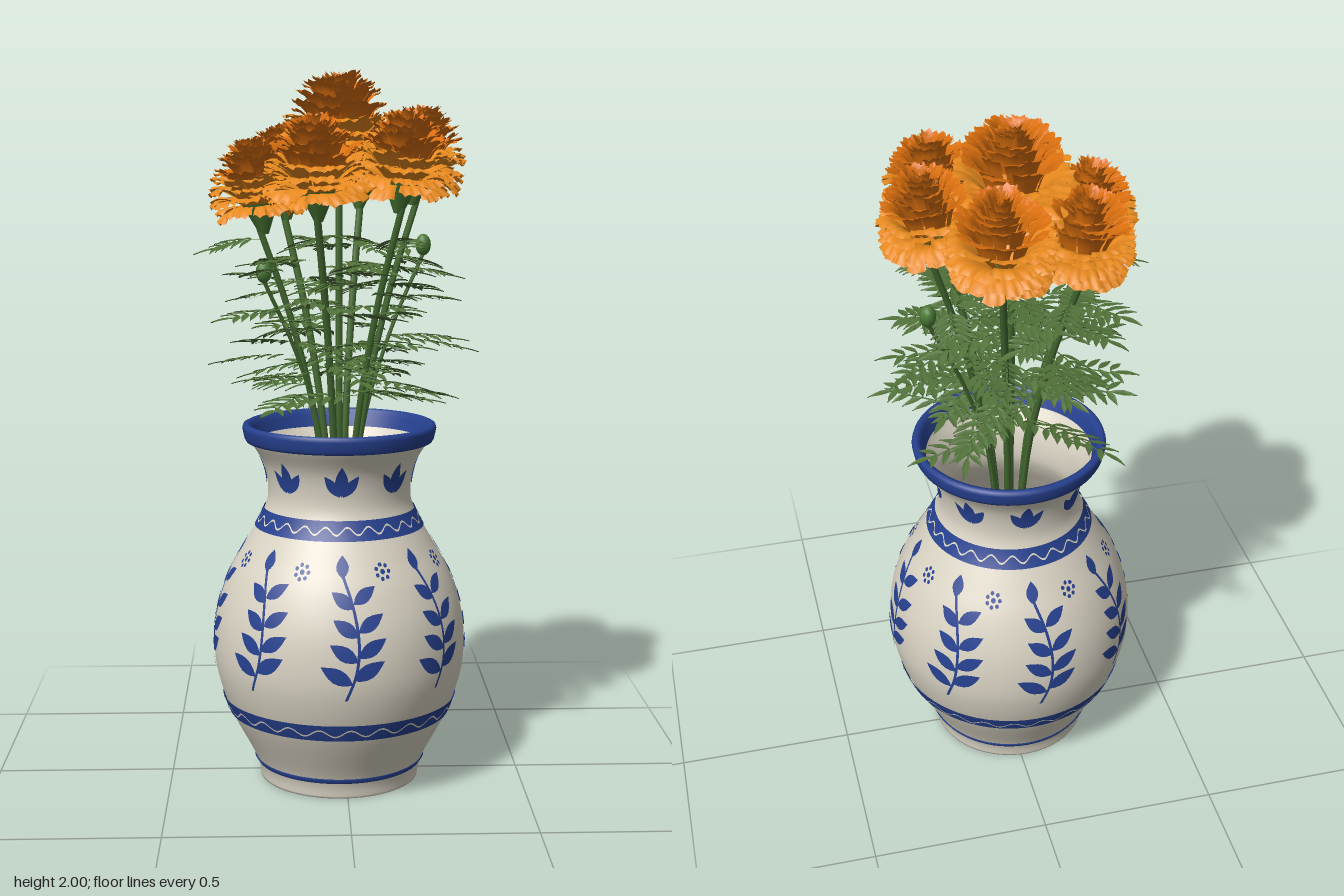
import * as THREE from 'three';
import { mergeGeometries } from 'three/addons/utils/BufferGeometryUtils.js';

const mat = (name, color) => {
  const m = new THREE.MeshStandardMaterial({ color, side: THREE.DoubleSide });
  m.name = name;
  return m;
};
const CX = -0.017, CZ = 0.018; // vase axis
const V3 = (x, y, z) => new THREE.Vector3(x, y, z);
const V2 = (x, y) => new THREE.Vector2(x, y);

let seed = 7;
const rand = () => (seed = (seed * 16807) % 2147483647) / 2147483647;

// Bend a grid by a rule f(u, v) -> Vector3
function patch(nu, nv, f) {
  const g = new THREE.PlaneGeometry(1, 1, nu, nv), p = g.attributes.position;
  for (let i = 0; i < p.count; i++) {
    const q = f(p.getX(i) + 0.5, p.getY(i) + 0.5);
    p.setXYZ(i, q.x, q.y, q.z);
  }
  g.computeVertexNormals();
  return g;
}

// Outer profile of the vase
const profile = new THREE.SplineCurve([[0.226, 0], [0.24, 0.06], [0.312, 0.2], [0.348, 0.31], [0.357, 0.4],
  [0.346, 0.5], [0.312, 0.6], [0.262, 0.69], [0.217, 0.77], [0.201, 0.83], [0.213, 0.91], [0.25, 0.975],
  [0.262, 1.0]].map(a => V2(...a))).getPoints(72);
function vaseR(y) {
  let i = 1;
  while (i < profile.length - 1 && profile[i].y < y) i++;
  const a = profile[i - 1], b = profile[i];
  return a.x + (b.x - a.x) * (y - a.y) / (b.y - a.y);
}

// Wrap flat drawings (x = arc length, y = height) onto the vase
function wrap(g, angle, off = 0.003) {
  const p = g.attributes.position;
  for (let i = 0; i < p.count; i++) {
    const y = p.getY(i), r = vaseR(y), a = angle + p.getX(i) / r;
    p.setXYZ(i, (r + off) * Math.sin(a), y, (r + off) * Math.cos(a));
  }
  g.computeVertexNormals();
  return g;
}
// Flat painted leaf starting at (x, y), pointing along angle t
function paintLeaf(x, y, len, wid, t) {
  return patch(2, 6, (u, v) => {
    const w = (u - 0.5) * wid * Math.sin(Math.PI * Math.pow(v, 0.9)), l = v * len;
    return V3(x + l * Math.cos(t) + w * Math.sin(t), y + l * Math.sin(t) - w * Math.cos(t), 0);
  });
}
const dot = (x, y, r) => new THREE.CircleGeometry(r, 8).translate(x, y, 0);

function buildVase(cream, blue) {
  const vase = new THREE.Group();
  vase.name = 'vase';
  const add = (name, g, m) => {
    const mesh = new THREE.Mesh(g, m);
    mesh.name = name;
    vase.add(mesh);
  };
  const inner = profile.filter(p => p.y > 0.03).map(p => V2(p.x - 0.014, p.y)).reverse();
  add('body', new THREE.LatheGeometry([V2(0, 0), ...profile, ...inner, V2(0, 0.03)], 72), cream);
  add('rim', new THREE.LatheGeometry([[0.24, 0.974], [0.262, 0.976], [0.267, 0.985], [0.273, 1.012], [0.27, 1.022],
    [0.262, 1.026], [0.251, 1.022], [0.245, 1.006], [0.234, 0.976]].map(a => V2(...a)), 72), blue);

  // Bands, with a light wave on the two wide ones
  [[0.735, 0.787], [0.198, 0.247]].forEach(([a, b]) => {
    const edge = [0, 1, 2, 3, 4].map(i => a + (b - a) * i / 4).map(y => V2(vaseR(y) + 0.004, y));
    add('band', new THREE.LatheGeometry(edge, 72), blue);
    add('bandWave', patch(288, 1, (u, v) => {
      const t = u * Math.PI * 2, y = (a + b) / 2 + 0.01 * Math.sin(t * 24) + (v - 0.5) * 0.005;
      const r = vaseR(y) + 0.007;
      return V3(r * Math.sin(t), y, r * Math.cos(t));
    }), cream);
  });
  // Narrow ledge line over the foot, facing down
  add('footLine', new THREE.LatheGeometry([V2(vaseR(0.046) + 0.001, 0.046), V2(vaseR(0.06) + 0.004, 0.059),
    V2(vaseR(0.06) - 0.002, 0.061)], 72), blue);

  // Painted sprigs, dotted flowers and neck tulips, eight times around
  const sprig = new THREE.CatmullRomCurve3([V3(0.008, 0.325, 0), V3(0.035, 0.4, 0), V3(0.042, 0.48, 0),
    V3(0.028, 0.57, 0), V3(0, 0.655, 0)]);
  for (let k = 0; k < 8; k++) {
    const a = k * Math.PI / 4, parts = [];
    parts.push(patch(1, 20, (u, v) => sprig.getPoint(v).add(V3((u - 0.5) * 0.008, 0, 0))));
    for (let i = 0; i < 4; i++) {
      const q = sprig.getPoint(0.15 + i * 0.2), len = 0.1 - i * 0.009;
      for (const s of [-1, 1])
        parts.push(paintLeaf(q.x, q.y + (s + 1) * 0.006, len, 0.042 - i * 0.002, Math.PI / 2 - s * (1.05 - i * 0.04)));
    }
    parts.push(paintLeaf(0, 0.645, 0.058, 0.034, Math.PI / 2));
    add('paintedSprig', wrap(mergeGeometries(parts), a), blue);

    const dots = [dot(0, 0.658, 0.007)];
    for (let i = 0; i < 7; i++) {
      const t = i / 7 * Math.PI * 2;
      dots.push(dot(0.018 * Math.cos(t), 0.658 + 0.018 * Math.sin(t), 0.0055));
    }
    add('paintedDots', wrap(mergeGeometries(dots), a + Math.PI / 8), blue);

    const tulip = [paintLeaf(0, 0.85, 0.088, 0.036, Math.PI / 2)];
    for (const s of [-1, 1]) tulip.push(paintLeaf(s * 0.004, 0.85, 0.074, 0.028, Math.PI / 2 + s * -0.62));
    add('paintedTulip', wrap(mergeGeometries(tulip), a), blue);
  }
  vase.position.set(CX, 0, CZ);
  return vase;
}

// One ruffled petal; s runs from 0 on the drooping outside to 1 in the middle
function petal(a0, width, tipR, tipH, s, R) {
  const low = s < 0.35;
  const baseR = low ? 0.2 * R : tipR * 0.5, baseH = low ? -0.035 : tipH - 0.08;
  const midR = tipR * (low ? 0.8 : 0.66), midH = tipH + (low ? 0.045 * (1 - s) : 0.002);
  const ph = rand() * 6, lift = (rand() - 0.5) * 0.026, len = 0.9 + rand() * 0.16;
  const twist = (rand() - 0.5) * 0.012;
  return patch(6, 4, (u, v) => {
    const e = 2 * u - 1, t = v * len * (1 - 0.08 * e * e), q = 1 - t;
    const wave = Math.sin(u * 14 + ph) * v * v;
    const r = q * q * baseR + 2 * q * t * midR + t * t * tipR + wave * 0.004 + twist * e * v;
    const h = q * q * baseH + 2 * q * t * midH + t * t * tipH + wave * 0.005 + lift * v;
    const a = a0 + (u - 0.5) * width * (0.75 + 0.25 * v);
    return V3(r * Math.sin(a), h, r * Math.cos(a));
  });
}

function buildFlower(R, H, mats) {
  const flower = new THREE.Group(), outer = [], inner = [];
  flower.name = 'flower';
  const radii = [0.97, 1.03, 1.02, 0.97, 0.86, 0.73, 0.61, 0.49, 0.37, 0.26, 0.15];
  const heights = [-0.055, -0.02, 0.02, 0.06, 0.105, 0.135, 0.157, 0.173, 0.185, 0.19, 0.185];
  radii.forEach((f, i) => {
    const s = i / (radii.length - 1), tipH = heights[i] * (i < 2 ? 1 : H / 0.19);
    const n = Math.round(18 - 12 * s), off = rand() * 6;
    for (let k = 0; k < n; k++)
      (i < 4 ? outer : inner).push(petal(off + (k + rand() * 0.5) / n * Math.PI * 2, 8 / n, R * f, tipH, s, R));
  });
  const calyx = new THREE.CylinderGeometry(0.05, 0.012, 0.085, 12, 1, true).translate(0, -0.065, 0);
  [['outerPetals', mergeGeometries(outer), mats[0]], ['innerPetals', mergeGeometries(inner), mats[1]],
    ['calyx', calyx, mats[2]]].forEach(([n, g, m]) => {
    const mesh = new THREE.Mesh(g, m);
    mesh.name = n;
    flower.add(mesh);
  });
  return flower;
}

// Feathery leaf pointing along +z
function leafGeometry(L) {
  const parts = [], droop = t => 0.03 * t - 0.045 * t * t, pairs = 5;
  parts.push(patch(1, 6, (u, v) => V3((u - 0.5) * 0.006, droop(v), v * L * 0.85)));
  const leaflet = (z, y, len, turn) => patch(2, 4, (u, v) => V3(
    (u - 0.5) * 0.02 * Math.sin(Math.PI * Math.pow(v, 0.85)),
    0.005 * Math.abs(u - 0.5) - 0.01 * v * v, v * len)).rotateY(turn).translate(0, y, z);
  for (let i = 0; i < pairs; i++) {
    const t = 0.22 + i * 0.14;
    for (const s of [-1, 1]) parts.push(leaflet(t * L, droop(t), 0.072 - Math.abs(i - 2) * 0.007, s * 0.9));
  }
  parts.push(leaflet(0.82 * L, droop(0.9), 0.075, 0));
  return mergeGeometries(parts);
}

export function createModel() {
  const model = new THREE.Group();
  model.name = 'flowerVase';
  const cream = mat('cream glaze', 0xdad4c4), blue = mat('blue glaze', 0x264190);
  const orange = mat('light orange petals', 0xe88a1e), deep = mat('deep orange petals', 0xdc700e);
  const green = mat('calyx green', 0x4a7a36), stemGreen = mat('stem green', 0x43682f);
  const leafGreen = mat('leaf green', 0x507038);
  model.add(buildVase(cream, blue));

  // x, z, height of head, radius, dome height
  const heads = [[-0.017, -0.023, 1.8, 0.16, 0.185], [0.05, -0.19, 1.72, 0.138, 0.165], [-0.17, -0.15, 1.69, 0.132, 0.15],
    [-0.237, 0.062, 1.66, 0.132, 0.145], [-0.082, 0.215, 1.7, 0.142, 0.165], [0.147, 0.162, 1.72, 0.136, 0.16],
    [0.202, -0.04, 1.735, 0.128, 0.16]];
  const stems = [], leaves = [], buds = [];
  const stemCurve = (x, y, z) => new THREE.CatmullRomCurve3([[0.1, 0.6], [0.3, 1.03], [0.62, 1.03 + (y - 1.03) * 0.55],
    [1, y]].map(([f, h]) => V3(CX + (x - CX) * f, h, CZ + (z - CZ) * f)));

  heads.forEach(([x, z, y, R, H], i) => {
    const flower = buildFlower(R, H, [orange, deep, green]);
    flower.position.set(x, y, z);
    flower.rotation.set((z - CZ) * 0.6, 0, -(x - CX) * 0.6);
    model.add(flower);
    const c = stemCurve(x, y - 0.09, z);
    stems.push(new THREE.TubeGeometry(c, 16, 0.01, 6));
    // Leaves up the stem, spiralling round it and shorter on the inner side
    for (let k = 0; k < 11; k++) {
      const h = 1.07 + k * 0.046 + rand() * 0.045, q = c.getPoint(0.34 + 0.62 * (h - 1.03) / (y - 1.12));
      const turn = (k * 2.4 + i * 1.3 + rand() * 0.6) % (Math.PI * 2) - Math.PI;
      const az = Math.atan2(x - CX, z - CZ) + turn * 0.85;
      const L = 0.31 - k * 0.011 - rand() * 0.06 - Math.abs(turn) * 0.012;
      leaves.push(leafGeometry(L).rotateZ((rand() - 0.5) * 0.5).rotateX((rand() - 0.5) * 0.3)
        .rotateY(az).translate(q.x, q.y, q.z));
    }
  });

  // Closed buds on thin stems
  [[-0.225, 1.43, 0.12], [0.225, 1.49, -0.1]].forEach(([x, y, z]) => {
    stems.push(new THREE.TubeGeometry(stemCurve(x, y, z), 16, 0.006, 6));
    buds.push(new THREE.SphereGeometry(0.022, 10, 8).scale(1, 1.4, 1).translate(x, y + 0.025, z));
  });
  [['stems', stems, stemGreen], ['leaves', leaves, leafGreen], ['buds', buds, green]].forEach(([n, g, m]) => {
    const mesh = new THREE.Mesh(mergeGeometries(g), m);
    mesh.name = n;
    model.add(mesh);
  });
  return model;
}
